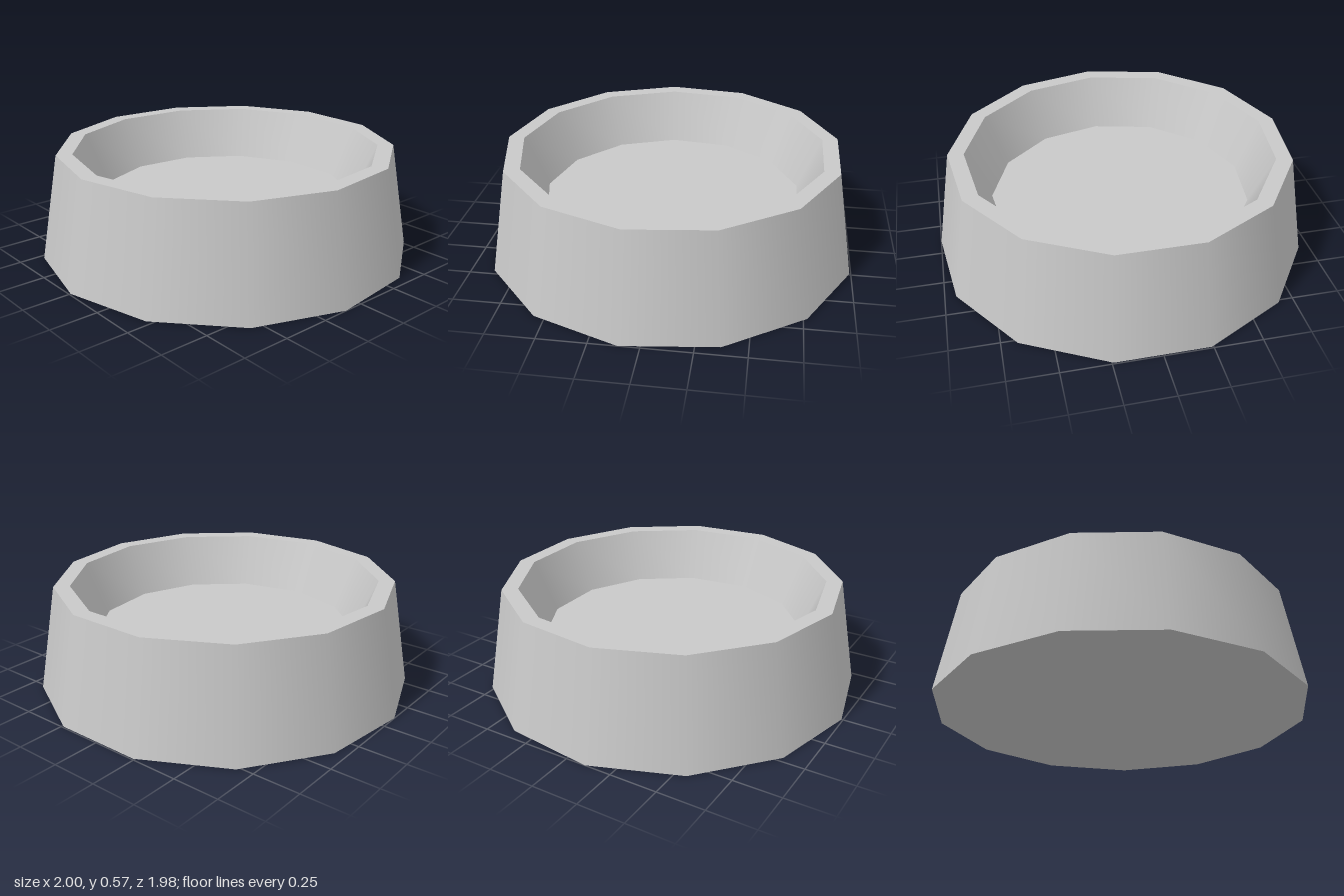
import * as THREE from 'three';

const SIDES = 13;
const HEIGHT = 0.57;
const FLOOR = 0.295;

export function createModel() {
  const bowl = new THREE.Group();
  bowl.name = 'bowl';
  const grey = new THREE.MeshStandardMaterial({ color: 0xc8c8c8 });
  grey.name = 'light grey';

  // Each band is smooth around, with a sharp edge where it meets the next one
  const band = (name, from, to) => {
    const points = [new THREE.Vector2(...from), new THREE.Vector2(...to)];
    const mesh = new THREE.Mesh(new THREE.LatheGeometry(points, SIDES), grey);
    mesh.name = name;
    bowl.add(mesh);
  };

  band('base', [0, 0], [1.007, 0]);
  band('outerWall', [1.007, 0], [0.908, HEIGHT]);
  band('rim', [0.908, HEIGHT], [0.822, HEIGHT]);
  band('innerWall', [0.822, HEIGHT], [0.698, FLOOR]);
  band('floor', [0.698, FLOOR], [0, FLOOR]);

  // The odd number of sides leaves the outline slightly off centre in z
  bowl.children.forEach((mesh) => { mesh.position.z = -0.015; });
  return bowl;
}
